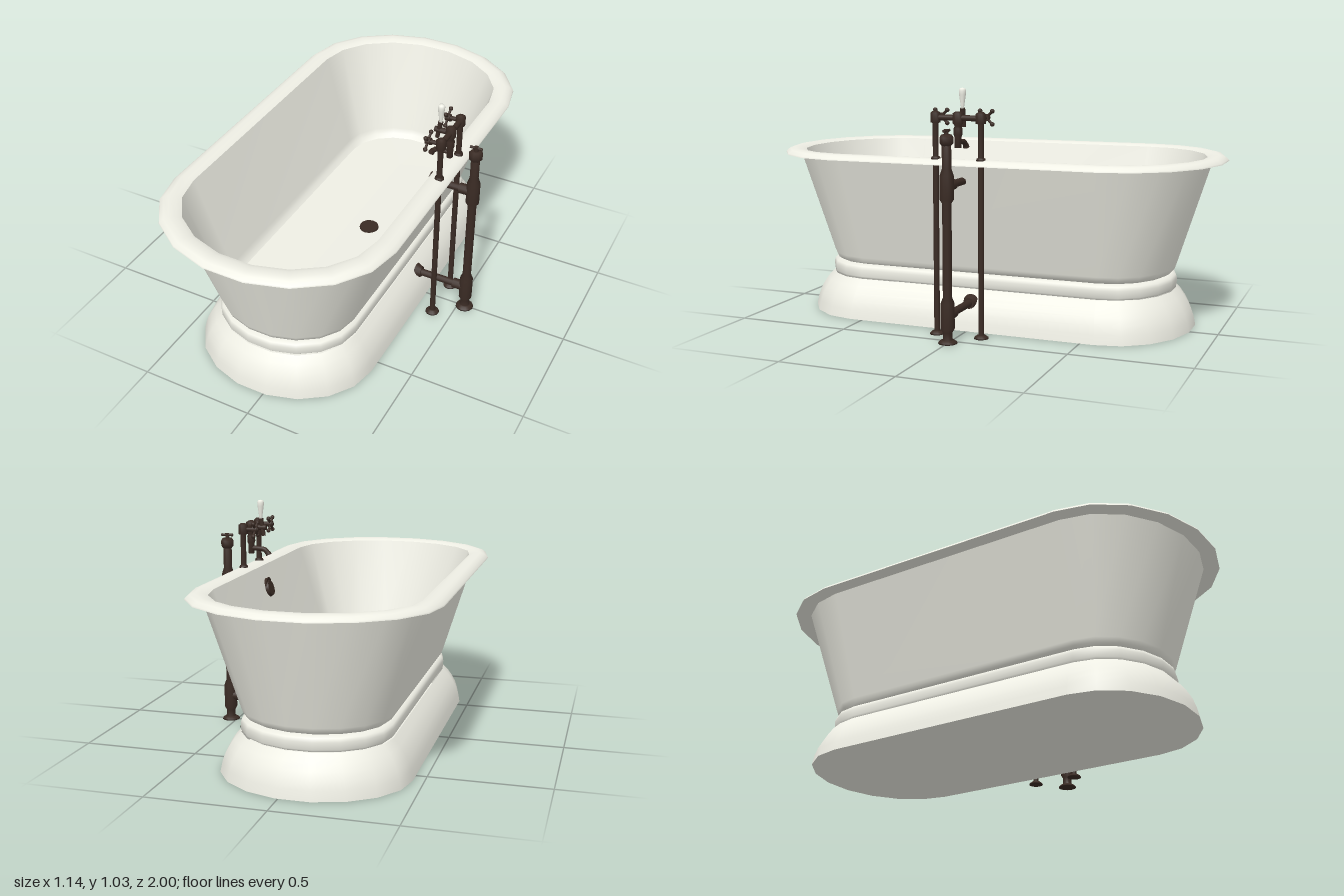
import * as THREE from 'three';

const enamel = new THREE.MeshStandardMaterial({ color: 0xeeeee4, side: THREE.DoubleSide });
const bronze = new THREE.MeshStandardMaterial({ color: 0x3a2b24 });
const TUB_X = -0.057; // tub axis; the pipes stand on the +x side
const PIPE_X = 0.53, SUPPLY_X = 0.415;

// Surface through long oval rings [half width, half length, y]; each end is a half ellipse of 9 sides
function ovalLoft(rings) {
  const pos = [], idx = [], n = 20;
  for (const [w, l, y] of rings) {
    const straight = l - 0.81 * w;
    for (let j = 0; j < n; j++) {
      const front = j < 10;
      const a = THREE.MathUtils.degToRad((front ? j : j - 1) * 20);
      pos.push(TUB_X + w * Math.cos(a), y, (front ? straight : -straight) + 0.822 * w * Math.sin(a));
    }
  }
  for (let i = 0; i < rings.length - 1; i++) {
    for (let j = 0; j < n; j++) {
      const k = (j + 1) % n, a = i * n, b = a + n;
      idx.push(a + j, b + j, a + k, b + j, b + k, a + k);
    }
  }
  const g = new THREE.BufferGeometry();
  g.setAttribute('position', new THREE.Float32BufferAttribute(pos, 3));
  g.setIndex(idx);
  g.computeVertexNormals();
  return g;
}

function add(parent, name, geometry, material = bronze) {
  const m = new THREE.Mesh(geometry, material);
  m.name = name;
  parent.add(m);
  return m;
}

// Round bar between two points, optionally tapered
function bar(parent, name, from, to, r0, r1 = r0, sides = 12, material = bronze) {
  const a = new THREE.Vector3(...from), b = new THREE.Vector3(...to);
  const d = b.clone().sub(a);
  const m = add(parent, name, new THREE.CylinderGeometry(r1, r0, d.length(), sides), material);
  m.position.copy(a).addScaledVector(d, 0.5);
  m.quaternion.setFromUnitVectors(new THREE.Vector3(0, 1, 0), d.normalize());
  return m;
}

function turned(parent, name, points, x, z, sides = 12, material = bronze) {
  const m = add(parent, name, new THREE.LatheGeometry(points.map(p => new THREE.Vector2(...p)), sides), material);
  m.position.set(x, 0, z);
  return m;
}

function buildTub(group) {
  const tub = new THREE.Group();
  tub.name = 'tub';
  group.add(tub);
  const part = (name, rings) => add(tub, name, ovalLoft(rings), enamel);
  part('baseUnderside', [[0, 0.5, 0], [0.397, 0.88, 0]]);
  part('baseSkirt', [[0.397, 0.88, 0], [0.389, 0.872, 0.04], [0.378, 0.86, 0.075],
    [0.362, 0.844, 0.105], [0.342, 0.824, 0.135], [0.313, 0.796, 0.165]]);
  part('plinthBand', [[0.305, 0.788, 0.165], [0.314, 0.797, 0.175], [0.315, 0.798, 0.205],
    [0.31, 0.793, 0.22], [0.295, 0.778, 0.228], [0.26, 0.743, 0.229]]);
  part('outerWall', [[0.27, 0.75, 0.228], [0.29, 0.77, 0.23], [0.303, 0.785, 0.24],
    [0.311, 0.793, 0.26], [0.45, 0.935, 0.718]]);
  part('rimUnderside', [[0.445, 0.93, 0.716], [0.513, 1, 0.716]]);
  part('rim', [[0.513, 1, 0.716], [0.511, 0.998, 0.722], [0.495, 0.982, 0.735],
    [0.475, 0.962, 0.74], [0.445, 0.932, 0.738], [0.425, 0.912, 0.73]]);
  part('innerWall', [[0.425, 0.912, 0.73], [0.29, 0.78, 0.31], [0.279, 0.768, 0.286], [0.262, 0.748, 0.27]]);
  part('tubFloor', [[0.262, 0.748, 0.27], [0, 0.53, 0.267]]);
  bar(tub, 'drain', [0.037, 0.262, -0.01], [0.037, 0.276, -0.01], 0.045, 0.042, 16);
  bar(tub, 'overflowPlate', [0.341, 0.628, 0], [0.322, 0.634, 0], 0.04, 0.034, 16);
}

function buildWastePipe(group) {
  const waste = new THREE.Group();
  waste.name = 'wastePipe';
  group.add(waste);
  // Standpipe with foot flange and two swollen joints
  turned(waste, 'standpipe', [[0, 0], [0.04, 0], [0.038, 0.006], [0.026, 0.014], [0.02, 0.016],
    [0.02, 0.045], [0.029, 0.06], [0.029, 0.165], [0.019, 0.19], [0.019, 0.575],
    [0.029, 0.59], [0.029, 0.685], [0.019, 0.715], [0.019, 0.81], [0, 0.81]], PIPE_X, 0);
  turned(waste, 'topNut', [[0.019, 0.805], [0.03, 0.817], [0.03, 0.838], [0.022, 0.85], [0, 0.85]], PIPE_X, 0, 8);
  bar(waste, 'plungerStem', [PIPE_X, 0.84, 0], [PIPE_X, 0.872, 0], 0.009);
  bar(waste, 'plungerGrip', [PIPE_X - 0.027, 0.865, 0], [PIPE_X + 0.027, 0.865, 0], 0.006);
  // Branches to the base and to the overflow
  for (const [name, y, x] of [['lower', 0.115, 0.28], ['upper', 0.645, 0.33]]) {
    bar(waste, name + 'Branch', [x, y, 0], [PIPE_X, y, 0], 0.016);
    bar(waste, name + 'BranchCollar', [0.47, y, 0], [0.515, y, 0], 0.023);
    bar(waste, name + 'BranchFlange', [x + 0.005, y, 0], [x + 0.033, y, 0], 0.036, 0.024);
  }
}

// Cross handle in the yz plane with ball tips
function buildCrossHandle(parent, z) {
  const y = 0.908, x = 0.358;
  bar(parent, 'handleStem', [0.345, y, z], [SUPPLY_X, y, z], 0.009);
  bar(parent, 'handleHub', [0.348, y, z], [0.37, y, z], 0.015);
  for (let i = 0; i < 4; i++) {
    const a = Math.PI / 4 + i * Math.PI / 2;
    const tip = [x, y + 0.038 * Math.sin(a), z + 0.038 * Math.cos(a)];
    bar(parent, 'handleSpoke', [x, y, z], tip, 0.005, 0.006, 8);
    add(parent, 'handleTip', new THREE.SphereGeometry(0.0095, 10, 8)).position.set(...tip);
  }
}

function buildFaucet(group) {
  const faucet = new THREE.Group();
  faucet.name = 'faucet';
  group.add(faucet);
  for (const z of [-0.1, 0.1]) {
    turned(faucet, 'supplyPipe', [[0, 0], [0.031, 0], [0.029, 0.006], [0.018, 0.014], [0.012, 0.016],
      [0.012, 0.735], [0.02, 0.737], [0.018, 0.746], [0.012, 0.75], [0.012, 0.885],
      [0.021, 0.887], [0.021, 0.926], [0.011, 0.934], [0, 0.935]], SUPPLY_X, z);
    buildCrossHandle(faucet, z);
  }
  bar(faucet, 'crossbar', [SUPPLY_X, 0.908, -0.1], [SUPPLY_X, 0.908, 0.1], 0.012);

  // Central body with the spout below and the diverter lever above
  turned(faucet, 'mixerBody', [[0, 0.785], [0.014, 0.787], [0.014, 0.83], [0.018, 0.84], [0.018, 0.865],
    [0.013, 0.875], [0.022, 0.887], [0.022, 0.927], [0.01, 0.934], [0, 0.934]], SUPPLY_X, 0);
  const path = new THREE.CatmullRomCurve3([[SUPPLY_X, 0.81], [0.375, 0.809], [0.35, 0.804], [0.335, 0.786]]
    .map(([x, y]) => new THREE.Vector3(x, y, 0)));
  add(faucet, 'spout', new THREE.TubeGeometry(path, 12, 0.011, 10));
  bar(faucet, 'spoutMouth', [0.338, 0.796, 0], [0.332, 0.782, 0], 0.011, 0.014);
  bar(faucet, 'diverterValve', [0.343, 0.905, 0], [SUPPLY_X, 0.905, 0], 0.012);
  bar(faucet, 'diverterHousing', [0.355, 0.868, 0], [0.368, 0.945, 0], 0.009, 0.011);
  const lever = turned(faucet, 'leverHandle', [[0, 0], [0.008, 0], [0.007, 0.012], [0.014, 0.06],
    [0.015, 0.075], [0.012, 0.085], [0, 0.088]], 0.368, 0, 12, enamel);
  lever.position.y = 0.94;
}

export function createModel() {
  const group = new THREE.Group();
  group.name = 'pedestalBathtub';
  buildTub(group);
  buildWastePipe(group);
  buildFaucet(group);
  return group;
}
